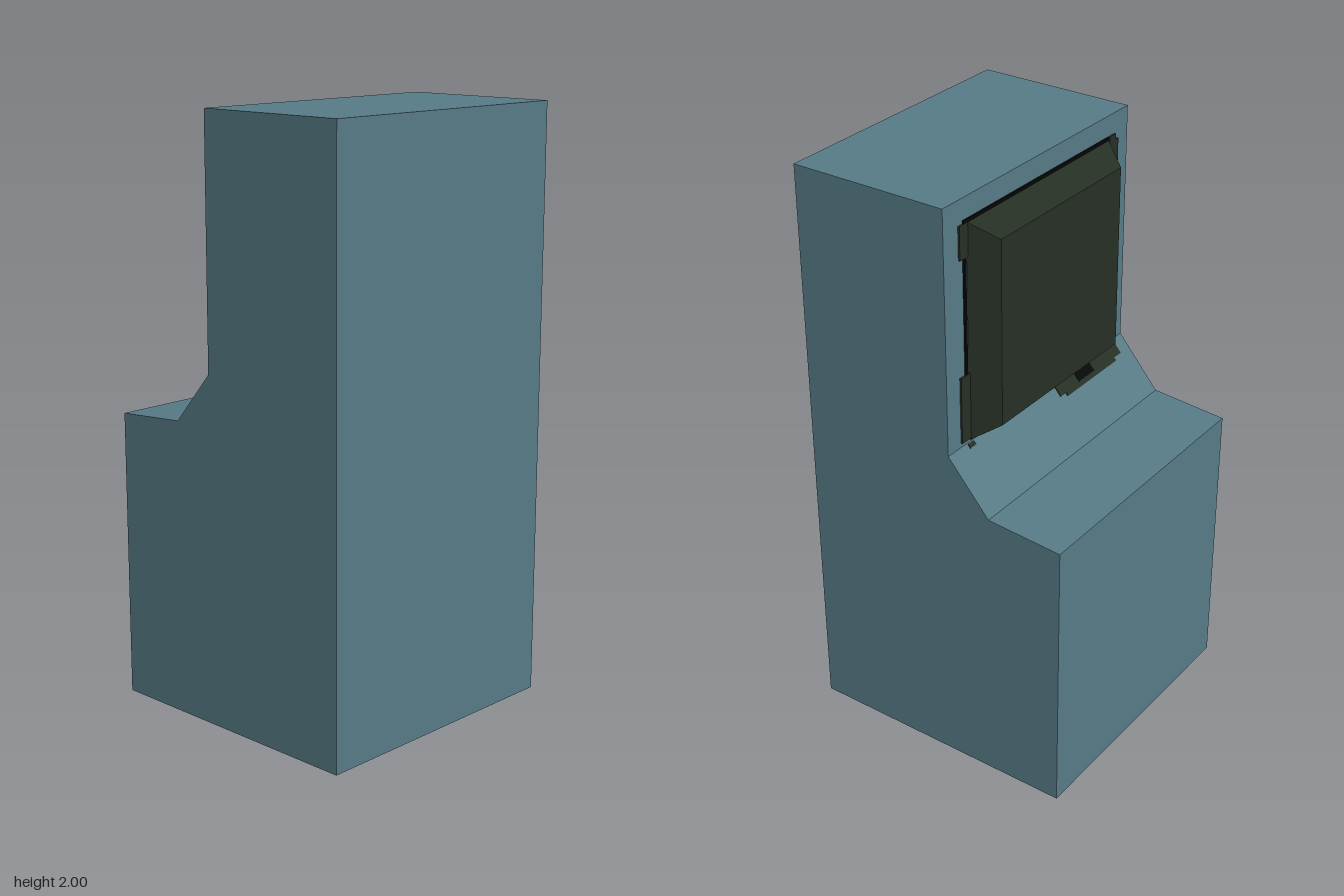
import * as THREE from 'three';

export function createModel() {
  const model = new THREE.Group();
  const mat = (name, color) => {
    const m = new THREE.MeshStandardMaterial({ color });
    m.name = name;
    return m;
  };
  const teal = mat('teal casing', 0x567a85);
  const dark = mat('dark screen', 0x262f24);
  const black = mat('black trim', 0x080808);

  const add = (name, geometry, material, x = 0, y = 0, z = 0) => {
    const mesh = new THREE.Mesh(geometry, material);
    mesh.name = name;
    mesh.position.set(x, y, z);
    model.add(mesh);
    return mesh;
  };

  // Casing: side profile in (z, y), extruded across the width
  const W = 0.97;
  const profile = [[0.485, 0], [0.485, 2], [-0.07, 2], [-0.07, 1.175], [-0.22, 1], [-0.485, 0.98], [-0.485, 0]];
  const shape = new THREE.Shape(profile.map(([z, y]) => new THREE.Vector2(z, y)));
  const casing = new THREE.ExtrudeGeometry(shape, { depth: W, bevelEnabled: false });
  casing.rotateY(-Math.PI / 2).translate(W / 2, 0, 0);
  add('casing', casing, teal);

  // Screen: box tapered toward the back
  const screen = new THREE.BoxGeometry(0.75, 0.74, 0.085).toNonIndexed();
  const p = screen.attributes.position;
  for (let i = 0; i < p.count; i++) {
    if (p.getZ(i) < 0) p.setXY(i, p.getX(i) * 0.853, p.getY(i) * 0.851);
  }
  screen.computeVertexNormals();
  add('screen', screen, dark, 0, 1.55, -0.1125);

  // Worn surround patches on the wall: [x0, x1, y0, y1]
  const patch = (name, [x0, x1, y0, y1], material) =>
    add(name, new THREE.BoxGeometry(x1 - x0, y1 - y0, 0.008), material, (x0 + x1) / 2, (y0 + y1) / 2, -0.072);
  [
    [0.375, 0.415, 1.81, 1.92], [0.375, 0.42, 1.19, 1.42],
    [-0.425, -0.375, 1.2, 1.91], [-0.41, -0.375, 1.91, 1.93],
  ].forEach((r) => patch('screenSurround', r, dark));
  [
    [0.385, 0.395, 1.42, 1.81], [-0.37, 0.395, 1.92, 1.93],
  ].forEach((r) => patch('screenOutline', r, black));

  // Patches on the sloped panel: [x0, x1, distance down the slope, length]
  const tilt = Math.atan2(0.15, 0.175);
  const slopePatch = (name, [x0, x1, d, len], material, thick) => {
    const s = d + len / 2;
    const mesh = add(name, new THREE.BoxGeometry(x1 - x0, len, thick), material,
      (x0 + x1) / 2, 1.175 - s * Math.cos(tilt), -0.07 - s * Math.sin(tilt));
    mesh.rotation.x = tilt;
  };
  slopePatch('slopePatch', [-0.43, -0.07, 0.005, 0.05], dark, 0.006);
  slopePatch('slopePatch', [-0.39, -0.1, 0.055, 0.012], dark, 0.006);
  slopePatch('slopeMark', [-0.27, -0.18, 0.01, 0.04], black, 0.009);
  slopePatch('slopeTab', [0.36, 0.39, 0.004, 0.015], dark, 0.006);

  // Black underside panel with an uneven back edge
  const base = new THREE.Shape([
    [0.35, 0.485], [-0.485, 0.485], [-0.485, -0.46], [-0.4, -0.46], [-0.36, -0.41], [0.05, -0.41],
    [0.08, -0.44], [0.12, -0.41], [0.22, -0.41], [0.28, -0.45], [0.35, -0.45],
  ].map(([x, z]) => new THREE.Vector2(x, z)));
  const under = new THREE.ShapeGeometry(base).rotateX(Math.PI / 2);
  add('underside', under, black, 0, -0.002, 0);

  return model;
}
